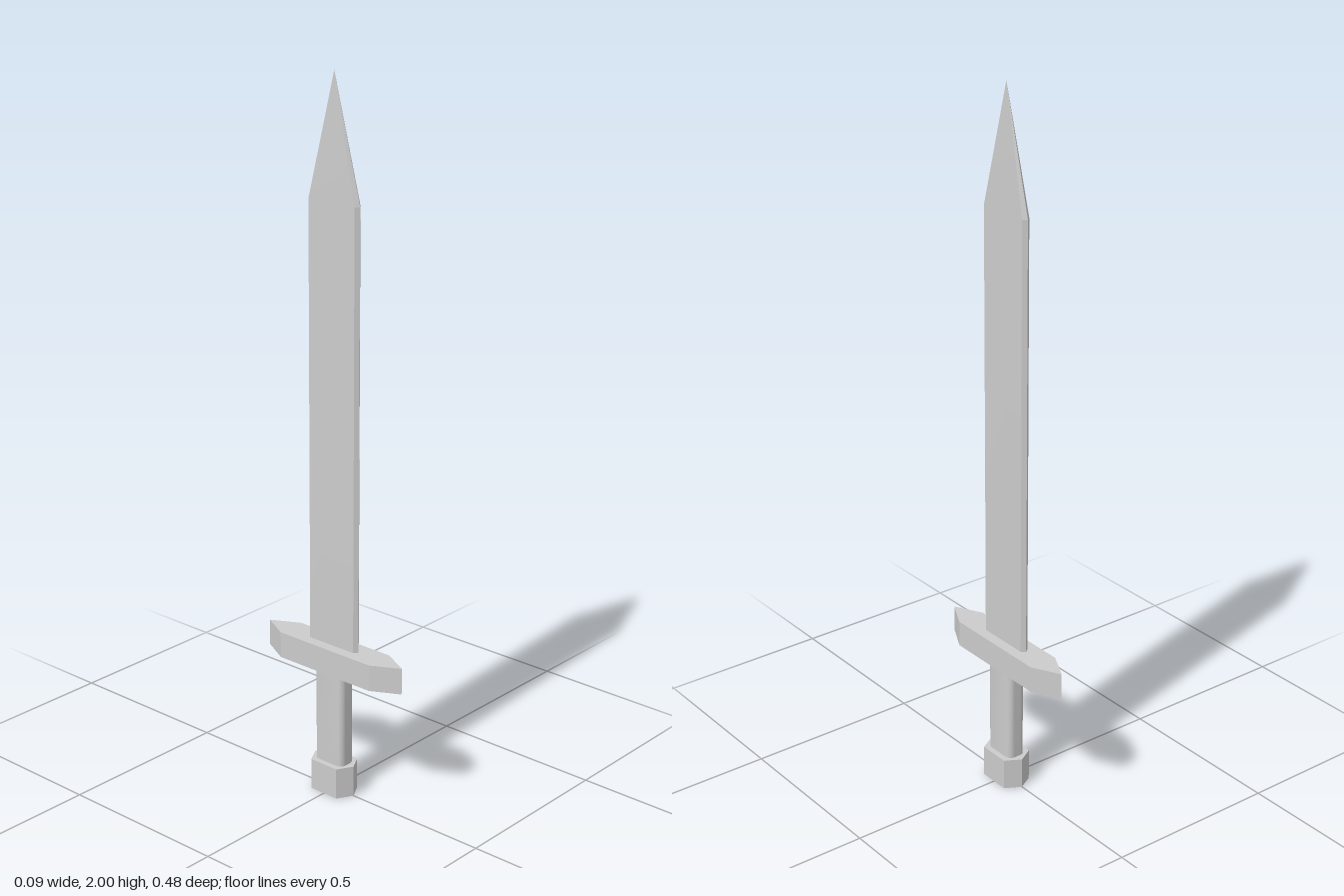
import * as THREE from 'three';
import { toCreasedNormals } from 'three/addons/utils/BufferGeometryUtils.js';

const material = new THREE.MeshStandardMaterial({ color: 0xcccccc });

// Long hexagon in the x/z plane: flat sides at +-x, points at +-z
const hexagon = (x, flatZ, pointZ) => [
  [x, -flatZ], [x, flatZ], [0, pointZ], [-x, flatZ], [-x, -flatZ], [0, -pointZ],
];

// Rectangle with rounded corners, in the same turning direction
function roundedOutline(x, z, radius, steps) {
  const points = [];
  [[1, 1], [-1, 1], [-1, -1], [1, -1]].forEach(([sx, sz], corner) => {
    for (let i = 0; i <= steps; i++) {
      const a = (corner + i / steps) * Math.PI / 2;
      points.push([
        sx * (x - radius) + radius * Math.cos(a),
        sz * (z - radius) + radius * Math.sin(a),
      ]);
    }
  });
  return points;
}

// Stack an outline through [height, scale] sections; scale 0 ends in a point
function loft(name, outline, sections, crease = 0.1) {
  const vertices = [];
  const triangle = (...corners) => corners.forEach((c) => vertices.push(...c));
  const at = ([x, z], [y, s]) => [x * s, y, z * s];
  const first = sections[0];
  const last = sections[sections.length - 1];

  outline.forEach((p, i) => {
    const q = outline[(i + 1) % outline.length];
    for (let k = 0; k < sections.length - 1; k++) {
      const low = sections[k];
      const high = sections[k + 1];
      triangle(at(p, low), at(p, high), at(q, low));
      if (high[1] > 0) triangle(at(q, low), at(p, high), at(q, high));
    }
    triangle([0, first[0], 0], at(p, first), at(q, first));
    if (last[1] > 0) triangle([0, last[0], 0], at(q, last), at(p, last));
  });

  const geometry = new THREE.BufferGeometry();
  geometry.setAttribute('position', new THREE.Float32BufferAttribute(vertices, 3));
  geometry.computeVertexNormals();
  const mesh = new THREE.Mesh(toCreasedNormals(geometry, crease), material);
  mesh.name = name;
  return mesh;
}

export function createModel() {
  const sword = new THREE.Group();
  sword.name = 'sword';
  sword.add(
    loft('pommel', hexagon(0.044, 0.046, 0.071), [[0, 1], [0.09, 1]]),
    // Grip with softly rounded edges
    loft('grip', roundedOutline(0.028, 0.05, 0.018, 4), [[0.085, 1], [0.37, 1]], 0.6),
    loft('crossguard', hexagon(0.042, 0.16, 0.24), [[0.365, 1], [0.44, 1]]),
    // Straight blade that narrows to a single point
    loft('blade', hexagon(0.0115, 0.078, 0.087), [[0.435, 1], [1.665, 1], [2, 0]]),
  );
  return sword;
}
